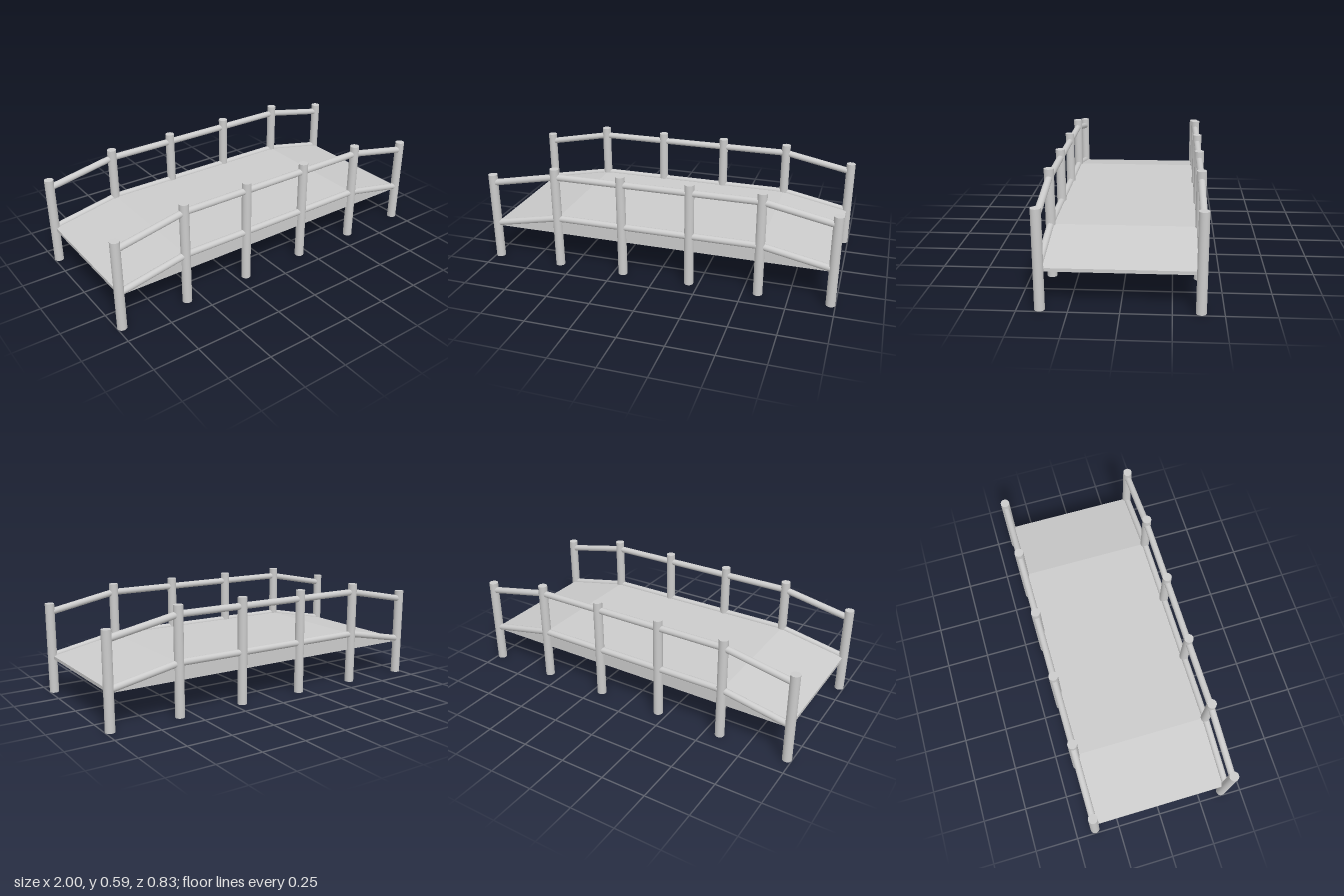
import * as THREE from 'three';

const material = new THREE.MeshStandardMaterial({ color: 0xcccccc });
const SIDE_Z = 0.388;
const POST_X = [-0.974, -0.584, -0.195, 0.195, 0.584, 0.974];
const END_DROP = 0.077; // how far the end bays slope down

const isEnd = (i) => i === 0 || i === POST_X.length - 1;

function addMesh(parent, name, geometry) {
  const mesh = new THREE.Mesh(geometry, material);
  mesh.name = name;
  parent.add(mesh);
  return mesh;
}

// Round bar running between two points
function addBar(parent, name, a, b, radius) {
  const bar = addMesh(parent, name, new THREE.CylinderGeometry(radius, radius, a.distanceTo(b), 24));
  bar.position.copy(a).add(b).multiplyScalar(0.5);
  bar.quaternion.setFromUnitVectors(new THREE.Vector3(0, 1, 0), b.clone().sub(a).normalize());
}

// Deck: flat underside, level middle and ramped ends
function addDeck(parent) {
  const profile = new THREE.Shape([
    new THREE.Vector2(-0.974, 0.197),
    new THREE.Vector2(0.974, 0.197),
    new THREE.Vector2(0.974, 0.215),
    new THREE.Vector2(0.584, 0.292),
    new THREE.Vector2(-0.584, 0.292),
    new THREE.Vector2(-0.974, 0.215),
  ]);
  const geometry = new THREE.ExtrudeGeometry(profile, { depth: SIDE_Z * 2, bevelEnabled: false });
  geometry.translate(0, 0, -SIDE_Z);
  addMesh(parent, 'deck', geometry);
}

// One railing: posts plus an upper and a lower rail in each bay
function addRailing(parent, name, z) {
  const railing = new THREE.Group();
  railing.name = name;
  POST_X.forEach((x, i) => {
    const top = 0.592 - (isEnd(i) ? END_DROP : 0);
    addBar(railing, 'post', new THREE.Vector3(x, 0, z), new THREE.Vector3(x, top, z), 0.026);
  });
  for (const [railName, y] of [['upperRail', 0.543], ['lowerRail', 0.291]]) {
    const points = POST_X.map((x, i) => new THREE.Vector3(x, y - (isEnd(i) ? END_DROP : 0), z));
    for (let i = 1; i < points.length; i++) addBar(railing, railName, points[i - 1], points[i], 0.0185);
  }
  parent.add(railing);
}

export function createModel() {
  const bridge = new THREE.Group();
  bridge.name = 'footbridge';
  addDeck(bridge);
  addRailing(bridge, 'frontRailing', SIDE_Z);
  addRailing(bridge, 'backRailing', -SIDE_Z);
  return bridge;
}
